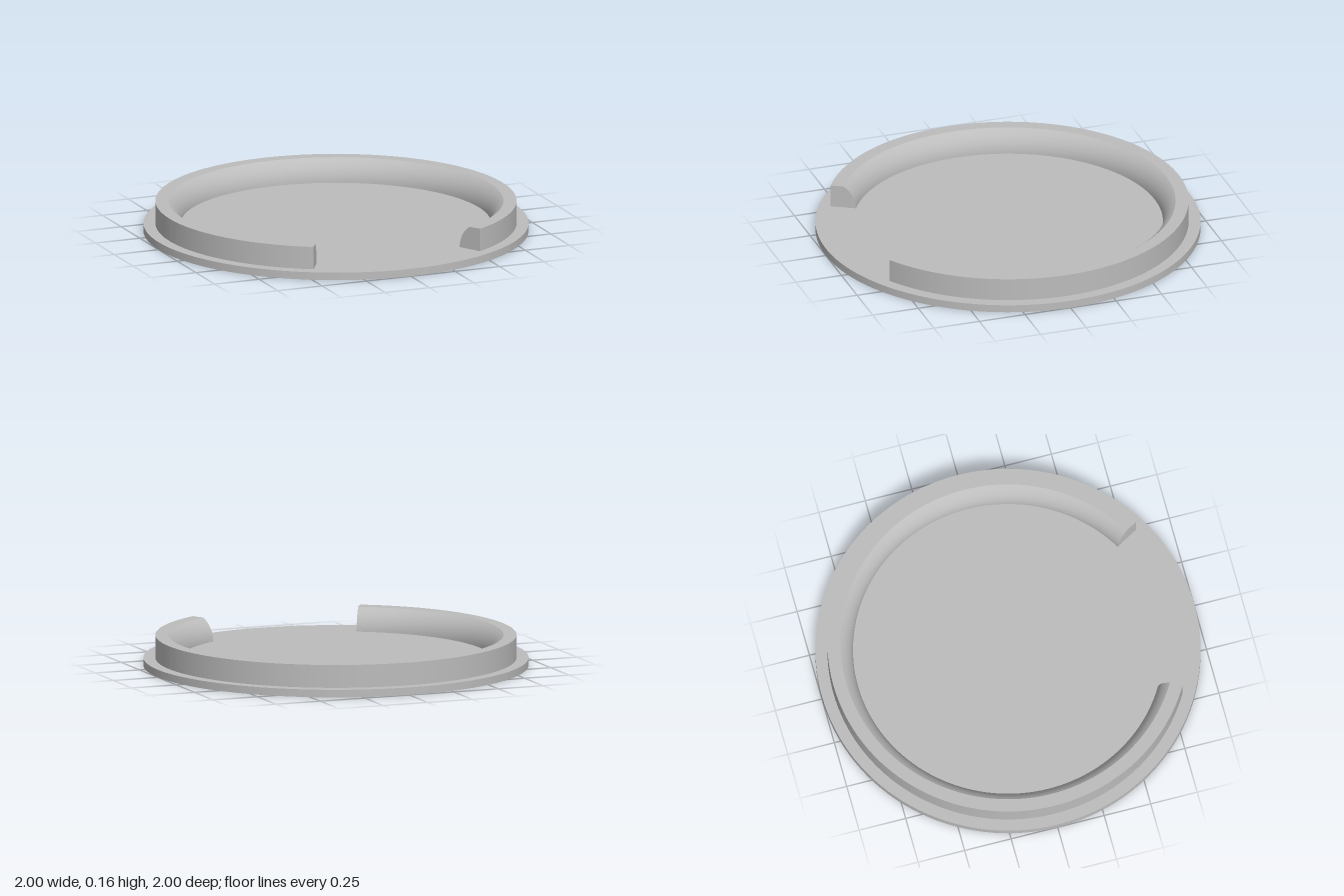
import * as THREE from 'three';

export function createModel() {
  const group = new THREE.Group();
  const grey = new THREE.MeshStandardMaterial({ color: 0xbcbcbc });
  grey.name = 'grey';

  const add = (name, geometry) => {
    const mesh = new THREE.Mesh(geometry, grey);
    mesh.name = name;
    group.add(mesh);
    return mesh;
  };

  const baseTop = 0.04, rimTop = 0.16;
  const outer = 0.938, innerTop = 0.87, innerFoot = 0.805;
  const gap = Math.PI / 6; // half angle of the opening at the front

  // Flat round base
  add('base', new THREE.CylinderGeometry(1, 1, baseTop, 128)).position.y = baseTop / 2;

  // Inner face of the rim: a bulging arc, vertical at its foot
  const h = rimTop - baseTop, inset = innerTop - innerFoot;
  const radius = (h * h + inset * inset) / (2 * inset);
  const sweep = Math.asin(h / radius);
  const innerArc = [];
  for (let i = 0; i <= 12; i++) {
    const a = sweep * (1 - i / 12);
    innerArc.push(new THREE.Vector2(
      innerFoot + radius * (1 - Math.cos(a)), baseTop + radius * Math.sin(a)));
  }

  // Rim faces, turned separately so the edges between them stay sharp
  const foot = new THREE.Vector2(outer, baseTop);
  const crest = new THREE.Vector2(outer, rimTop);
  const faces = {
    rimOuterWall: [foot, crest],
    rimTop: [crest, innerArc[0]],
    rimInnerWall: innerArc,
  };
  for (const [name, points] of Object.entries(faces)) {
    add(name, new THREE.LatheGeometry(points, 120, gap, 2 * (Math.PI - gap)));
  }

  // Flat ends of the rim on both sides of the opening
  for (const side of [1, -1]) {
    const section = [foot, crest, ...innerArc].map(p => new THREE.Vector2(side * p.x, p.y));
    const end = new THREE.ShapeGeometry(new THREE.Shape(section));
    end.rotateY(side * (gap - Math.PI / 2));
    add(side > 0 ? 'leftRimEnd' : 'rightRimEnd', end);
  }

  return group;
}
